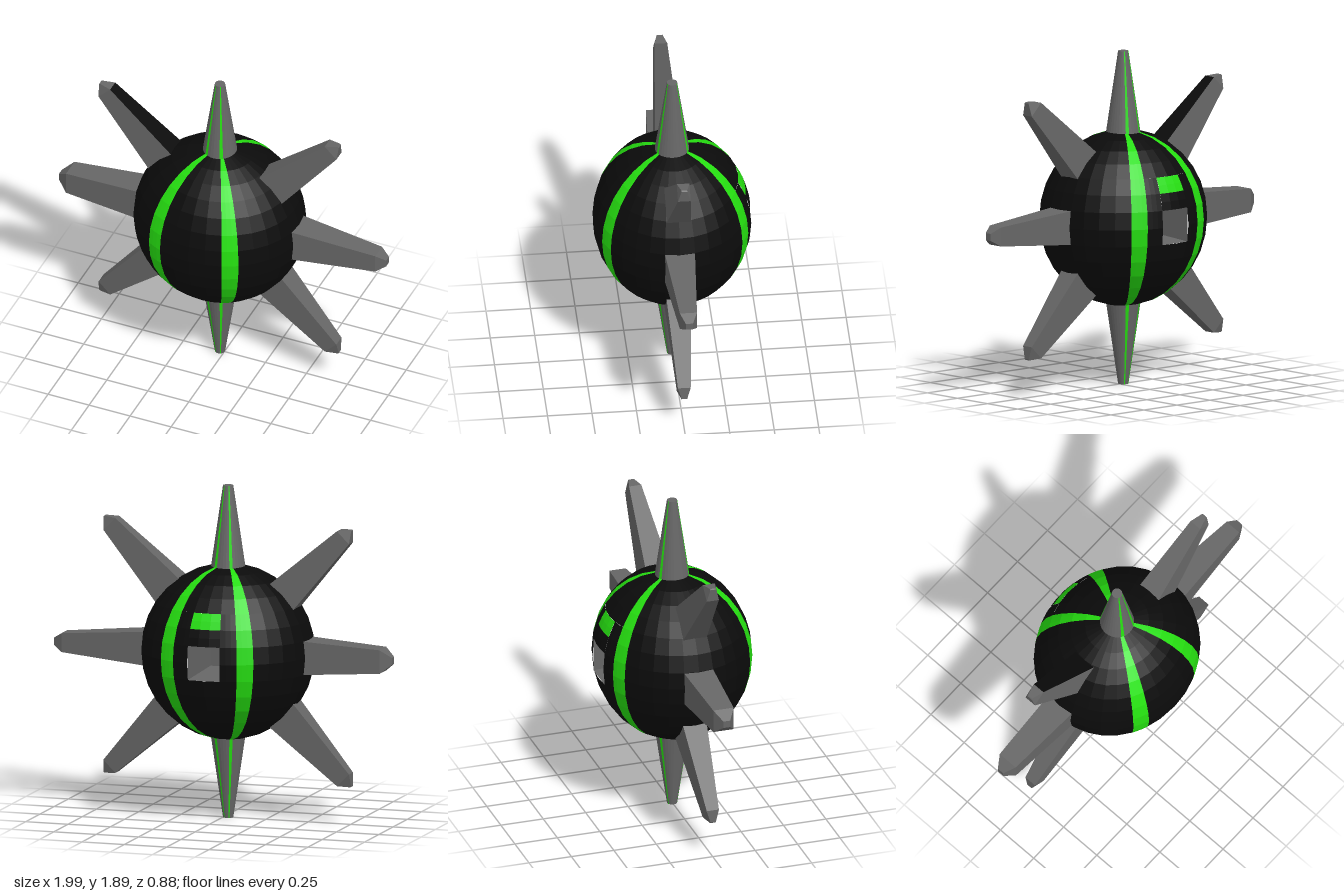
import * as THREE from 'three';

const gray = new THREE.MeshStandardMaterial({ color: 0x666666 });
gray.name = 'steel gray';
const black = new THREE.MeshStandardMaterial({ color: 0x0b0b0b });
black.name = 'shell black';
const green = new THREE.MeshStandardMaterial({ color: 0x25de10 });
green.name = 'bright green';

const STEP = Math.PI / 16; // one of 32 facets around, one of 16 rows down

// Runs of facets around the vertical axis, counted from the front
const stripes = [2, 13, 18, 29].map((start) => [start, 1]);
const panels = [[-2, 4], [3, 10], [19, 10]];
const backPanel = [14, 4];

function add(parent, name, geometry, material) {
  const flat = geometry.index ? geometry.toNonIndexed() : geometry;
  flat.computeVertexNormals();
  const mesh = new THREE.Mesh(flat, material);
  mesh.name = name;
  parent.add(mesh);
  return mesh;
}

// Piece of the faceted ellipsoid shell
function shellPatch(parent, name, material, [col, cols], row = 0, rows = 16) {
  const g = new THREE.SphereGeometry(1, cols, rows, (col + 8) * STEP, cols * STEP, row * STEP, rows * STEP);
  add(parent, name, g.scale(0.492, 0.497, 0.445), material);
}

// Square tapered tube along x from sections [x, halfY, halfZ], closed at its end
function loft(sections, sides) {
  const corner = ([x, hy, hz], k) => {
    const c = [[1, -1], [1, 1], [-1, 1], [-1, -1]][k % 4];
    return [x, c[0] * hy, c[1] * hz];
  };
  const pos = [];
  const quad = (a, b, c, d) => pos.push(...a, ...b, ...c, ...a, ...c, ...d);
  for (let i = 0; i < sections.length - 1; i++) {
    for (const s of sides) {
      quad(corner(sections[i], s), corner(sections[i], s + 1),
        corner(sections[i + 1], s + 1), corner(sections[i + 1], s));
    }
  }
  if (sides.length > 1) quad(...[0, 1, 2, 3].map((k) => corner(sections.at(-1), k)));
  const g = new THREE.BufferGeometry();
  g.setAttribute('position', new THREE.Float32BufferAttribute(pos, 3));
  return g;
}

// Square spike at an angle in the front plane, with an optional black side
function squareSpike(parent, name, degrees, sections, darkSide = -1) {
  const spike = new THREE.Group();
  spike.name = name;
  spike.rotation.z = THREE.MathUtils.degToRad(degrees);
  const [base, shoulder, tip] = sections;
  const sides = [0, 1, 2, 3].filter((s) => s !== darkSide);
  add(spike, name + 'Shaft', loft([base, shoulder], sides), gray);
  add(spike, name + 'Tip', loft([shoulder, tip], [0, 1, 2, 3]), gray);
  if (darkSide >= 0) add(spike, name + 'DarkSide', loft([base, shoulder], [darkSide]), black);
  parent.add(spike);
}

// Round upright spike carrying the four green lines
function roundSpike(parent, name, up) {
  const spike = new THREE.Group();
  spike.name = name;
  const tipR = 0.029, baseR = 0.098, height = 0.471;
  const wall = (label, material, [col, cols]) => {
    const g = new THREE.CylinderGeometry(up > 0 ? tipR : baseR, up > 0 ? baseR : tipR,
      height, cols, 1, true, col * STEP, cols * STEP);
    add(spike, label, g, material);
  };
  for (const run of [...panels, backPanel]) wall(name + 'Wall', gray, run);
  for (const run of stripes) wall(name + 'Stripe', green, run);
  const cap = add(spike, name + 'Cap', new THREE.CircleGeometry(tipR, 32), gray);
  cap.rotation.x = -up * Math.PI / 2;
  cap.position.y = up * height / 2;
  spike.position.y = up * (0.944 - height / 2);
  parent.add(spike);
}

export function createModel() {
  const model = new THREE.Group();
  model.name = 'spikedBall';
  const ball = new THREE.Group();
  ball.name = 'ball';
  ball.position.set(-0.027, 0.944, 0);
  model.add(ball);

  // Shell panels and vertical stripes
  for (const run of panels) shellPatch(ball, 'shellPanel', black, run);
  for (const run of stripes) shellPatch(ball, 'shellStripe', green, run);

  // Back panel around the window and the square opening
  shellPatch(ball, 'backPanelTop', black, backPanel, 0, 5);
  shellPatch(ball, 'backWindow', green, [15, 2], 5, 1);
  shellPatch(ball, 'backPanelMiddle', black, [15, 2], 6, 1);
  for (const col of [14, 17]) shellPatch(ball, 'backPanelSide', black, [col, 1], 5, 4);
  shellPatch(ball, 'backPanelBottom', black, backPanel, 9, 7);

  // Recess behind the opening
  const recess = add(ball, 'backRecess',
    loft([[0.431, 0.097, 0.095], [0.1, 0.07, 0.07]], [0, 1, 2, 3]), gray);
  recess.rotation.y = Math.PI / 2;

  // Spikes
  roundSpike(ball, 'topSpike', 1);
  roundSpike(ball, 'bottomSpike', -1);
  squareSpike(ball, 'leftSpike', 0, [[0.42, 0.1, 0.088], [0.967, 0.054, 0.048], [1.022, 0.02, 0.02]]);
  squareSpike(ball, 'rightSpike', 180, [[0.42, 0.098, 0.088], [0.913, 0.067, 0.06], [0.973, 0.02, 0.02]], 0);
  const diagonal = [[0.42, 0.104, 0.073], [0.975, 0.05, 0.036], [1.03, 0.004, 0.016]];
  squareSpike(ball, 'upperLeftSpike', 45, diagonal);
  squareSpike(ball, 'upperRightSpike', 135, diagonal, 2);
  squareSpike(ball, 'lowerRightSpike', 225, diagonal);
  squareSpike(ball, 'lowerLeftSpike', 315, diagonal);

  return model;
}
